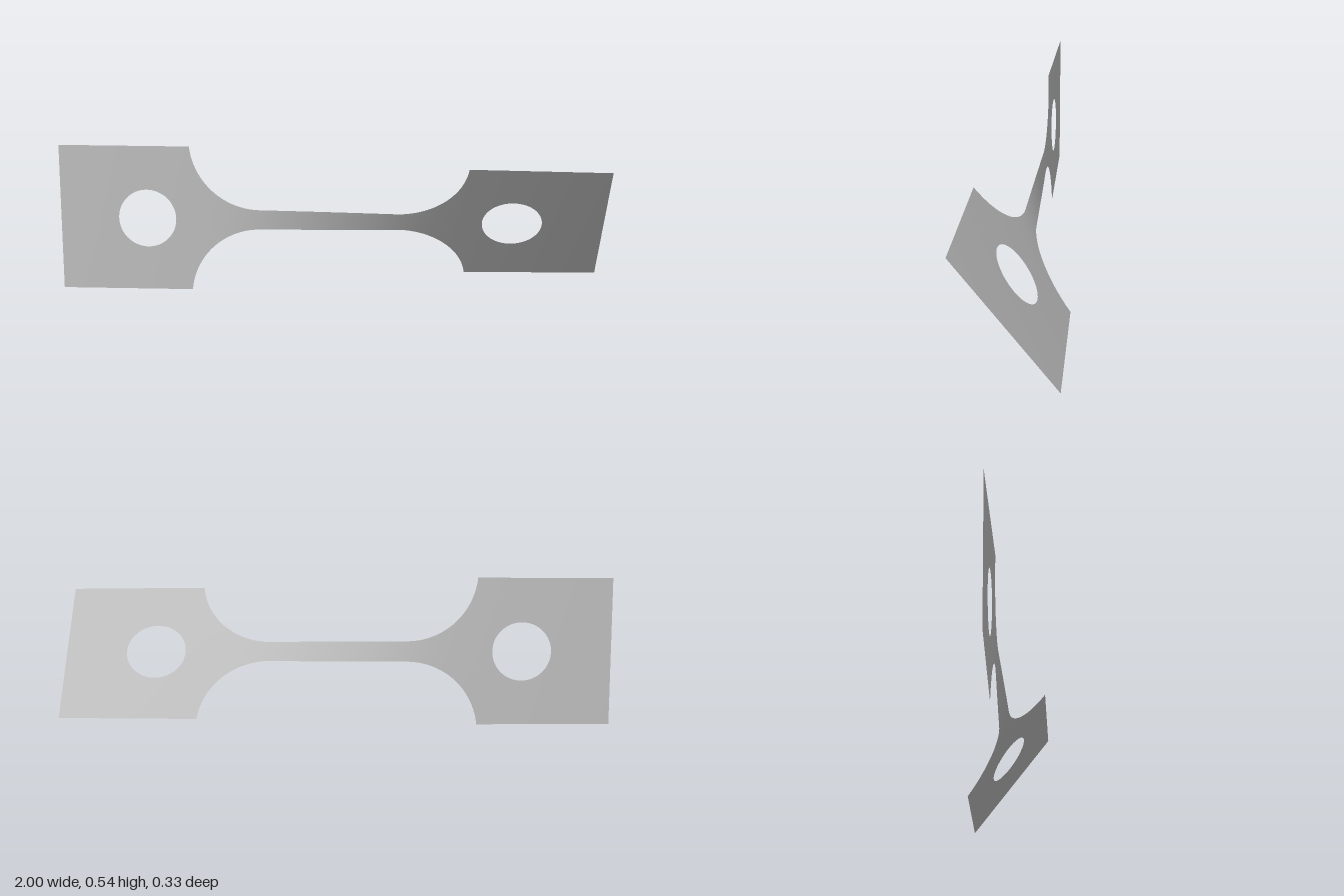
import * as THREE from 'three';
import { mergeVertices } from 'three/addons/utils/BufferGeometryUtils.js';

const HALF = 0.2715;    // half height of the grips
const NECK = 0.0375;    // half height of the narrow gauge
const SHOULDER = 0.508; // where grips meet the fillets
const FILLET = 0.26, FILLET_X = 0.25;
const HOLE_X = 0.672, HOLE_R = 0.108;
const TWIST = THREE.MathUtils.degToRad(37.4);

// Half height of the strip at a position along its length
function halfHeight(x) {
  const a = Math.abs(x);
  if (a >= SHOULDER) return HALF;
  if (a <= FILLET_X) return NECK;
  const d = a - FILLET_X;
  return Math.min(HALF, NECK + FILLET - Math.sqrt(FILLET * FILLET - d * d));
}

// Twist accumulates fastest where the strip is narrow
const STEPS = 800;
const angles = [0];
for (let i = 0; i < STEPS; i++) {
  const x = -1 + (2 * (i + 0.5)) / STEPS;
  angles.push(angles[i] + Math.pow(halfHeight(x), -1.3));
}
function twistAt(x) {
  const t = THREE.MathUtils.clamp((x + 1) / 2, 0, 1) * STEPS;
  const i = Math.min(STEPS - 1, Math.floor(t));
  return (TWIST * THREE.MathUtils.lerp(angles[i], angles[i + 1], t - i)) / angles[STEPS];
}

// Grid surface from a flat (x, height) rule, then twisted about the long axis
function twistedSheet(nu, nv, flat) {
  const pos = [], index = [];
  for (let i = 0; i <= nu; i++) {
    for (let j = 0; j <= nv; j++) {
      const [x, h] = flat(i / nu, j / nv);
      const a = twistAt(x);
      pos.push(x, HALF + h * Math.cos(a), h * Math.sin(a));
      if (i < nu && j < nv) {
        const p = i * (nv + 1) + j, q = p + nv + 1;
        index.push(p, q, q + 1, p, q + 1, p + 1);
      }
    }
  }
  const geo = new THREE.BufferGeometry();
  geo.setAttribute('position', new THREE.Float32BufferAttribute(pos, 3));
  geo.setIndex(index);
  const merged = mergeVertices(geo, 1e-5);
  merged.computeVertexNormals();
  return merged;
}

// Rectangular grip with a round hole: rings from the hole out to the border
function gripGeometry(side) {
  const cx = side * HOLE_X;
  const x0 = side < 0 ? -1 : SHOULDER, x1 = side < 0 ? -SHOULDER : 1;
  const corners = [[x1, -HALF], [x1, HALF], [x0, HALF], [x0, -HALF]];
  return twistedSheet(96, 10, (u, v) => {
    const s = u * 4, k = Math.floor(s) % 4, f = s % 1;
    const a = corners[k], b = corners[(k + 1) % 4];
    const bx = a[0] + (b[0] - a[0]) * f, by = a[1] + (b[1] - a[1]) * f;
    const phi = Math.atan2(by, bx - cx);
    const hx = cx + HOLE_R * Math.cos(phi), hy = HOLE_R * Math.sin(phi);
    // ring direction is reversed so the front faces +z
    return [bx + (hx - bx) * (1 - v), by + (hy - by) * (1 - v)];
  });
}

export function createModel() {
  const metal = new THREE.MeshStandardMaterial({ color: 0xc0c0c0, side: THREE.DoubleSide });
  metal.name = 'grey metal';
  const group = new THREE.Group();
  group.name = 'twistedTestStrip';
  const add = (name, geo) => {
    const mesh = new THREE.Mesh(geo, metal);
    mesh.name = name;
    group.add(mesh);
  };

  // Flip the winding of the ring grids so they face forward
  for (const [name, side] of [['rightGrip', -1], ['leftGrip', 1]]) {
    const geo = gripGeometry(side);
    const idx = geo.index.array;
    for (let i = 0; i < idx.length; i += 3) [idx[i + 1], idx[i + 2]] = [idx[i + 2], idx[i + 1]];
    geo.computeVertexNormals();
    add(name, geo);
  }

  // Narrow twisted gauge with its concave fillets, packed tighter near the shoulders
  add('gauge', twistedSheet(160, 12, (u, v) => {
    const x = SHOULDER * Math.sin((u - 0.5) * Math.PI);
    return [x, halfHeight(x) * (2 * v - 1)];
  }));
  return group;
}
